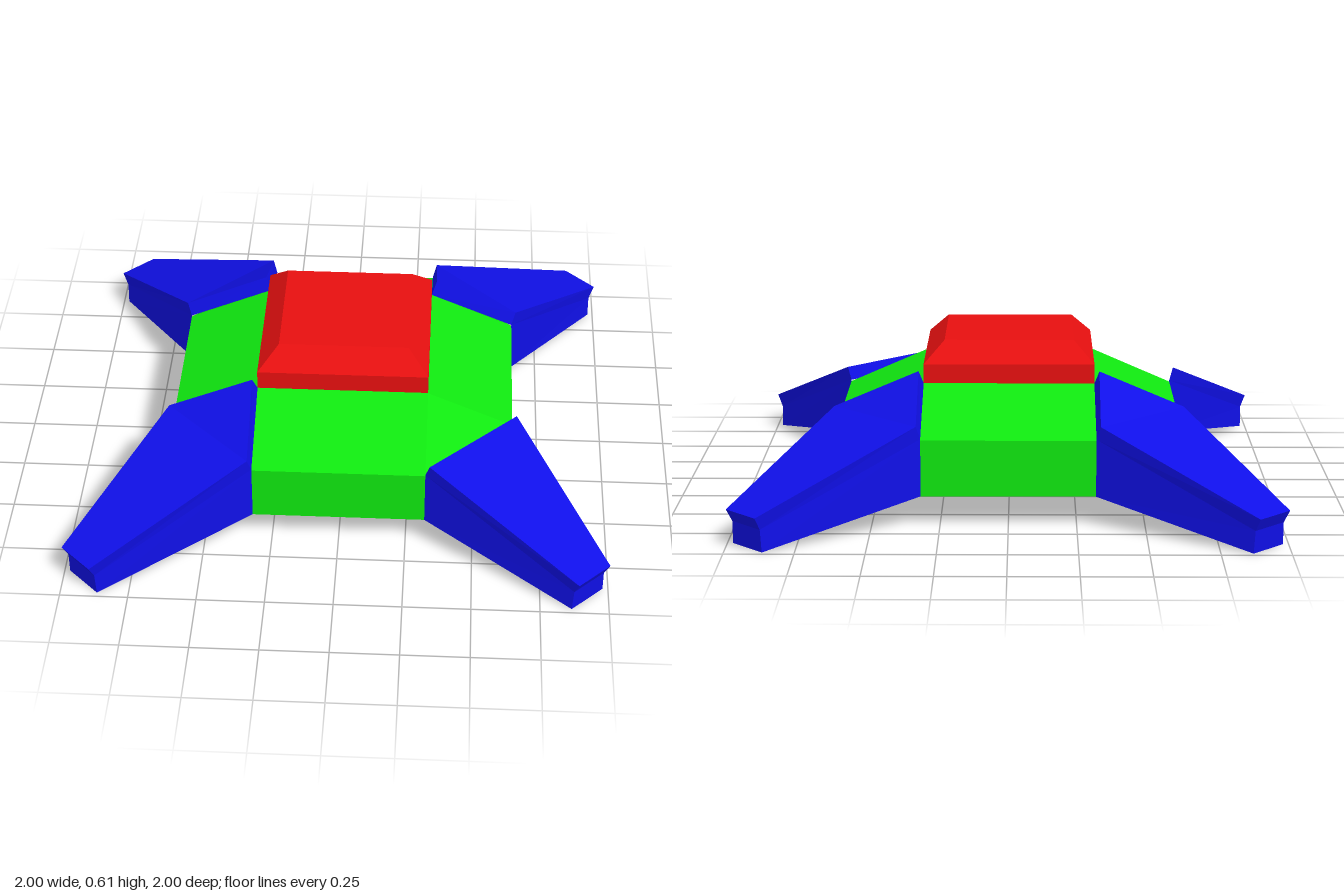
import * as THREE from 'three';

const red = new THREE.MeshStandardMaterial({ color: 0xe81010 });
red.name = 'red';
const green = new THREE.MeshStandardMaterial({ color: 0x10e810 });
green.name = 'green';
const blue = new THREE.MeshStandardMaterial({ color: 0x1010e8 });
blue.name = 'blue';

// Flat-shaded mesh from polygons, each fanned into triangles; mirrored in x and z on request
function polyMesh(name, faces, material, sx = 1, sz = 1) {
  const positions = [];
  for (const face of faces) {
    const f = face.map(([x, y, z]) => new THREE.Vector3(x * sx, y, z * sz));
    if (sx * sz < 0) f.reverse();
    for (let i = 1; i < f.length - 1; i++) {
      const tri = new THREE.Triangle(f[0], f[i], f[i + 1]);
      if (tri.getArea() < 1e-7) continue;
      for (const p of [tri.a, tri.b, tri.c]) positions.push(p.x, p.y, p.z);
    }
  }
  const geometry = new THREE.BufferGeometry();
  geometry.setAttribute('position', new THREE.Float32BufferAttribute(positions, 3));
  geometry.computeVertexNormals();
  const mesh = new THREE.Mesh(geometry, material);
  mesh.name = name;
  return mesh;
}

// Quad i of the band between two rings that run counter-clockwise seen from above
function bandFace(low, high, i) {
  const j = (i + 1) % low.length;
  return [low[i], low[j], high[j], high[i]];
}

// Closed stack of rings, bottom to top
function loft(rings) {
  const faces = [[...rings[0]].reverse(), rings[rings.length - 1]];
  for (let r = 0; r < rings.length - 1; r++) {
    rings[r].forEach((_, i) => faces.push(bandFace(rings[r], rings[r + 1], i)));
  }
  return faces;
}

// Square ring with cut corners: a is the inner half width, b the outer one
function octagon(a, b, y) {
  return [[a, b], [b, a], [b, -a], [a, -b], [-a, -b], [-b, -a], [-b, a], [-a, b]]
    .map(([x, z]) => [x, y, z]);
}

// Leg on the +x +z corner; each ring is: inner z, tip z, tip x, inner x, body corner
function legFaces(hasFin, openSide) {
  const ring = (inner, innerY, tip, tipY, corner, cornerY) => [
    [inner[0], innerY, inner[1]], [tip[0], tipY, tip[1]], [tip[1], tipY, tip[0]],
    [inner[1], innerY, inner[0]], [corner, cornerY, corner],
  ];
  const bottom = ring([0.32, 0.64], 0.11, [0.865, 0.98], 0, 0.32, 0.11);
  const middle = ring([0.32, 0.64], 0.325, [0.87, 0.98], 0.083, 0.32, 0.46);
  const top = ring([0.335, 0.655], 0.375, [0.885, 1], 0.13, 0.338, 0.51);
  const faces = [top.slice(0, 4), bottom.slice(0, 4).reverse()];
  for (let i = 0; i < 3; i++) {
    faces.push(bandFace(bottom, middle, i), bandFace(middle, top, i));
  }
  if (hasFin) {
    // raised shoulder that runs up beside the cap
    faces.push([top[4], top[0], top[3]]);
    if (!openSide) faces.push(bandFace(middle, top, 3));
    faces.push(bandFace(middle, top, 4));
  } else {
    // plain step across the body corner
    faces.push([middle[3], middle[0], top[0], top[3]]);
  }
  return faces;
}

export function createModel() {
  const model = new THREE.Group();
  model.name = 'fourLeggedBase';

  // body with a sloped shoulder
  model.add(polyMesh('body', loft([
    octagon(0.32, 0.64, 0.11), octagon(0.32, 0.64, 0.32), octagon(0.32, 0.32, 0.459),
  ]), green));

  // bevelled cap
  const square = (h, y) => [[-h, y, h], [h, y, h], [h, y, -h], [-h, y, -h]];
  model.add(polyMesh('cap', loft([
    square(0.32, 0.46), square(0.32, 0.532), square(0.243, 0.61),
  ]), red));

  // legs on the four corners; the front left one has no raised shoulder
  for (const sx of [1, -1]) {
    for (const sz of [1, -1]) {
      const name = (sz > 0 ? 'front' : 'back') + (sx > 0 ? 'Left' : 'Right') + 'Leg';
      const faces = legFaces(name !== 'frontLeftLeg', name === 'frontRightLeg');
      model.add(polyMesh(name, faces, blue, sx, sz));
    }
  }
  return model;
}
